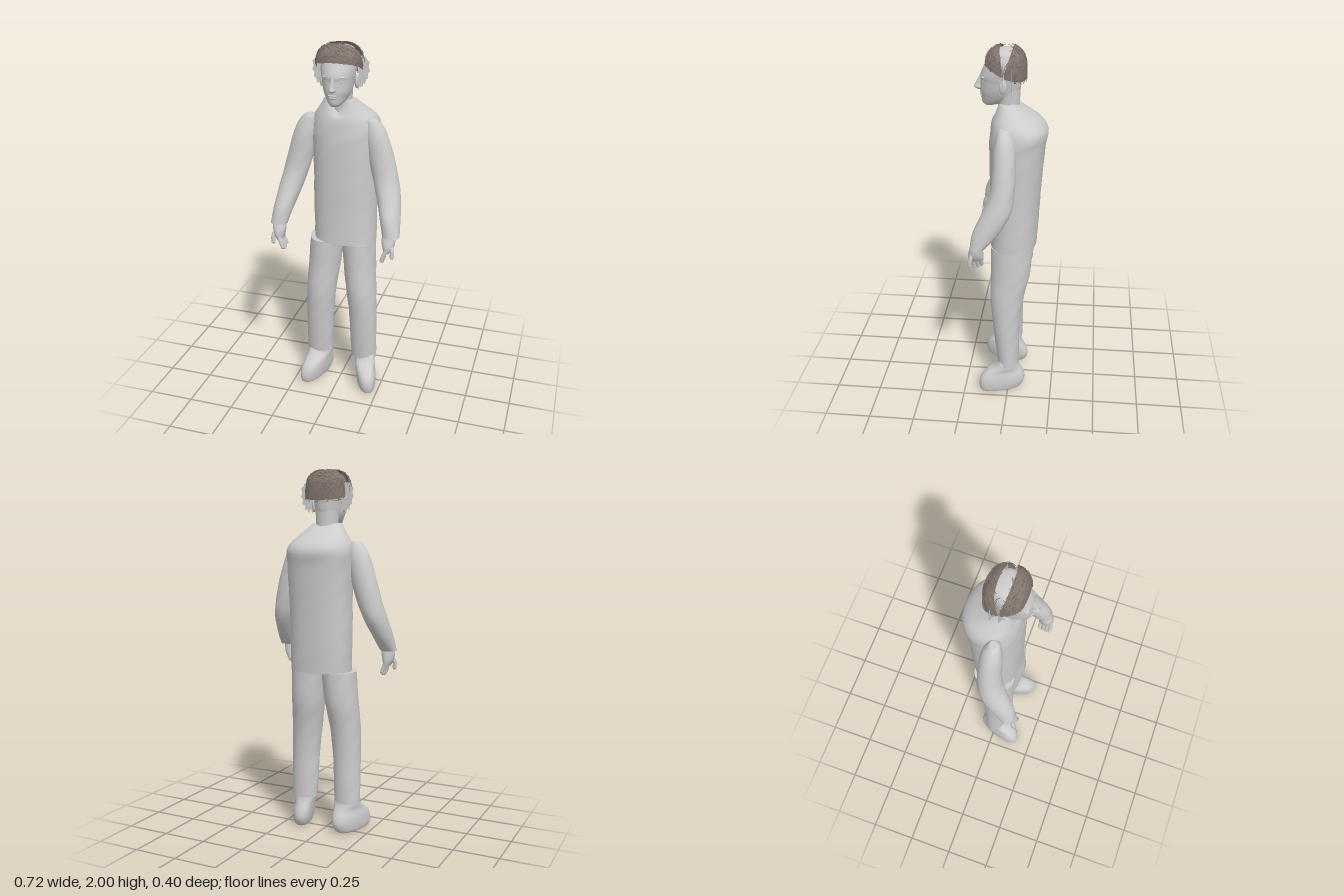
import * as THREE from 'three';
import { mergeGeometries } from 'three/addons/utils/BufferGeometryUtils.js';
import { ParametricGeometry } from 'three/addons/geometries/ParametricGeometry.js';

const bodyGrey = new THREE.MeshStandardMaterial({ color: 0xcccccc, side: THREE.DoubleSide });
bodyGrey.name = 'bodyGrey';
const hairBrown = new THREE.MeshStandardMaterial({ color: 0x857870, side: THREE.DoubleSide });
hairBrown.name = 'hairBrown';

// small seeded generator for the hair strands
let seed = 7;
const rand = () => (seed = (seed * 16807) % 2147483647) / 2147483647;

// smooth values between rows
function spline(a, b, c, d, t) {
  return b + 0.5 * t * (c - a + t * (2 * a - 5 * b + 4 * c - d + t * (3 * (b - c) + d - a)));
}

// body of horizontal oval sections; rows run upwards: [y, xMin, xMax, zMin, zMax]
function loft(rows, { power = 2, segments = 32, steps = 4, wrinkle = 0, deform } = {}) {
  const rings = [];
  const at = i => rows[Math.min(rows.length - 1, Math.max(0, i))];
  for (let i = 0; i < rows.length - 1; i++) {
    for (let s = 0; s < steps; s++) {
      rings.push(rows[i].map((_, k) => spline(at(i - 1)[k], at(i)[k], at(i + 1)[k], at(i + 2)[k], s / steps)));
    }
  }
  rings.push(rows[rows.length - 1]);
  const pos = [], index = [];
  const point = (r, j) => {
    const [y, x0, x1, z0, z1] = r, a = (j / segments) * Math.PI * 2;
    const c = Math.cos(a), s = Math.sin(a);
    const w = 1 + wrinkle * Math.sin(y * 31 + 3 * a) * Math.sin(y * 17 + 2 * a);
    const p = new THREE.Vector3(
      (x0 + x1) / 2 + ((x1 - x0) / 2) * w * Math.sign(c) * Math.abs(c) ** (2 / power), y,
      (z0 + z1) / 2 + ((z1 - z0) / 2) * w * Math.sign(s) * Math.abs(s) ** (2 / power));
    if (deform) deform(p);
    return p;
  };
  rings.forEach(r => { for (let j = 0; j < segments; j++) pos.push(...point(r, j)); });
  for (let i = 0; i < rings.length - 1; i++) {
    for (let j = 0; j < segments; j++) {
      const a = i * segments + j, b = i * segments + (j + 1) % segments;
      index.push(a, a + segments, b, b, a + segments, b + segments);
    }
  }
  // end caps with their own corners
  [rings[0], rings[rings.length - 1]].forEach((r, top) => {
    const start = pos.length / 3, mid = new THREE.Vector3();
    for (let j = 0; j < segments; j++) {
      const p = point(r, j);
      mid.addScaledVector(p, 1 / segments);
      pos.push(...p);
    }
    pos.push(...mid);
    for (let j = 0; j < segments; j++) {
      const a = start + j, b = start + (j + 1) % segments, c = start + segments;
      if (top) index.push(c, b, a); else index.push(c, a, b);
    }
  });
  const g = new THREE.BufferGeometry();
  g.setAttribute('position', new THREE.Float32BufferAttribute(pos, 3));
  g.setIndex(index);
  g.computeVertexNormals();
  return g;
}

const flip = (rows, side, shift = 0) => rows.map(([y, a, b, c, d]) =>
  side > 0 ? [y, a + shift, b + shift, c, d] : [y, -b, -a, c, d]);

// dome of the hair: a turns round the x axis from the front, b runs from side to side
function hairPoint(a, b, size, target) {
  const f = (v, e) => Math.sign(v) * Math.abs(v) ** e;
  return target.set(f(Math.cos(b), 0.8) * 0.121 * size,
    1.86 + f(Math.sin(b) * Math.sin(a), 0.65) * 0.134 * size,
    0.025 + f(Math.sin(b) * Math.cos(a), 0.8) * 0.105 * size);
}

export function createModel() {
  const model = new THREE.Group();
  const add = (name, geometry, material = bodyGrey, parent = model) => {
    const m = new THREE.Mesh(geometry, material);
    m.name = name;
    parent.add(m);
    return m;
  };
  const ball = (name, x, y, z, rx, ry, rz, parent) => {
    const m = add(name, new THREE.SphereGeometry(1, 20, 14), bodyGrey, parent);
    m.position.set(x, y, z);
    m.scale.set(rx, ry, rz);
    return m;
  };

  // shirt, with the neckline dropping to a V at the front
  add('shirt', loft([
    [0.91, -0.152, 0.192, -0.145, 0.107], [1.1, -0.155, 0.192, -0.157, 0.105],
    [1.3, -0.157, 0.192, -0.17, 0.108], [1.48, -0.163, 0.198, -0.184, 0.11],
    [1.56, -0.163, 0.198, -0.196, 0.103], [1.61, -0.15, 0.178, -0.168, 0.095],
    [1.66, -0.115, 0.128, -0.1, 0.08], [1.71, -0.08, 0.085, -0.025, 0.065],
  ], {
    power: 2.25, segments: 48, wrinkle: 0.012,
    deform: p => {
      if (p.y > 1.62 && p.z > 0) p.y -= Math.max(0, 1 - Math.abs(p.x) / 0.06) * (p.y - 1.62) * 0.85;
    },
  }));

  // head, neck and face
  const head = new THREE.Group();
  head.name = 'head';
  model.add(head);
  add('neck', loft([[1.58, -0.055, 0.055, -0.05, 0.055], [1.69, -0.06, 0.06, -0.048, 0.065],
    [1.78, -0.065, 0.065, -0.05, 0.075]]), bodyGrey, head);
  add('skull', loft([
    [1.69, -0.022, 0.022, 0.085, 0.132], [1.705, -0.04, 0.04, 0.03, 0.146],
    [1.735, -0.06, 0.06, -0.03, 0.15], [1.77, -0.074, 0.074, -0.05, 0.155],
    [1.82, -0.083, 0.083, -0.056, 0.152], [1.85, -0.088, 0.088, -0.062, 0.153],
    [1.91, -0.092, 0.092, -0.064, 0.126], [1.955, -0.08, 0.08, -0.05, 0.095],
    [1.975, -0.06, 0.06, -0.033, 0.075], [1.982, -0.02, 0.02, 0, 0.045],
  ]), bodyGrey, head);
  add('nose', loft([[1.768, -0.01, 0.01, 0.13, 0.165], [1.78, -0.018, 0.018, 0.125, 0.187],
    [1.8, -0.012, 0.012, 0.125, 0.179], [1.845, -0.008, 0.008, 0.125, 0.156]], { segments: 16 }), bodyGrey, head);
  ball('upperLip', 0, 1.751, 0.149, 0.025, 0.006, 0.009, head);
  ball('lowerLip', 0, 1.74, 0.147, 0.021, 0.006, 0.009, head);
  for (const s of [-1, 1]) {
    ball('eye', s * 0.035, 1.82, 0.131, 0.015, 0.007, 0.011, head);
    ball('brow', s * 0.036, 1.842, 0.132, 0.024, 0.007, 0.012, head);
    ball('ear', s * 0.09, 1.805, 0.03, 0.012, 0.036, 0.02, head).rotation.y = s * 0.35;

    // jagged thin side locks
    const lock = new THREE.Shape();
    [[0.08, 1.93], [0.125, 1.92], [0.13, 1.905], [0.145, 1.895], [0.139, 1.87], [0.147, 1.85], [0.135, 1.835],
      [0.138, 1.81], [0.124, 1.805], [0.122, 1.78], [0.108, 1.785], [0.1, 1.76], [0.088, 1.78],
      [0.1, 1.83], [0.095, 1.87]].forEach(([x, y], i) => lock[i ? 'lineTo' : 'moveTo'](s * x, y));
    for (const z of [-0.015, 0.03]) add('sideLock', new THREE.ShapeGeometry(lock), bodyGrey, head).position.z = z;
  }

  // hair: front and back caps with a gap on the crown, under crossing strands
  const cap = (name, from, to) => add(name, new ParametricGeometry((u, v, p) =>
    hairPoint(from + (to - from) * u, 0.02 + v * (Math.PI - 0.04), 1, p), 16, 32), hairBrown, head);
  cap('hairFront', 0.22, 1.4);
  cap('hairBack', 1.87, 3.24);
  const strands = [];
  for (let i = 0; i < 230; i++) {
    // the two ranges keep most strands off the crown gap
    const a = i % 2 ? 0.25 + rand() * 1.1 : 1.9 + rand() * 1.3;
    const b = 0.15 + rand() * 2.85, da = (rand() - 0.5) * 0.9, db = (rand() - 0.5) * 1.3;
    const lift = rand() * 0.03;
    const points = [0, 0.25, 0.5, 0.75, 1].map(t => hairPoint(
      THREE.MathUtils.clamp(a + da * t, 0.2, 3.3), THREE.MathUtils.clamp(b + db * t, 0.06, 3.08),
      1.004 + lift * t, new THREE.Vector3()));
    strands.push(new THREE.TubeGeometry(new THREE.CatmullRomCurve3(points), 8, 0.0015, 4));
  }
  add('hairStrands', mergeGeometries(strands), hairBrown, head);

  for (const s of [-1, 1]) {
    const label = s > 0 ? 'left' : 'right';

    // sleeve, bending forward below the elbow
    add(label + 'Sleeve', loft(flip([
      [1.02, 0.265, 0.358, 0.1, 0.183], [1.1, 0.243, 0.35, 0.03, 0.168], [1.2, 0.21, 0.337, -0.028, 0.122],
      [1.3, 0.178, 0.315, -0.044, 0.085], [1.4, 0.15, 0.29, -0.048, 0.074], [1.5, 0.132, 0.26, -0.045, 0.07],
      [1.56, 0.128, 0.235, -0.034, 0.06], [1.6, 0.132, 0.205, -0.016, 0.05], [1.615, 0.145, 0.185, -0.005, 0.04],
    ], s, 0.003), { wrinkle: 0.015 }));

    // hand with four fingers and a thumb
    const hand = new THREE.Group();
    hand.name = label + 'Hand';
    model.add(hand);
    add('palm', loft(flip([[0.935, 0.282, 0.318, 0.115, 0.19], [0.965, 0.275, 0.335, 0.112, 0.195],
      [1.0, 0.268, 0.343, 0.115, 0.187], [1.04, 0.275, 0.343, 0.12, 0.172]], s), { segments: 20 }), bodyGrey, hand);
    const digit = (name, points, r) => {
      const path = points.map(([x, y, z]) => new THREE.Vector3(s * x, y, z));
      add(name, new THREE.TubeGeometry(new THREE.CatmullRomCurve3(path), 8, r, 10), bodyGrey, hand);
      const tip = path[path.length - 1];
      ball(name + 'Tip', tip.x, tip.y, tip.z, r, r, r, hand);
    };
    [0.125, 0.145, 0.166, 0.185].forEach((z, i) => {
      const low = [0.9, 0.888, 0.886, 0.895][i];
      digit('finger', [[0.3, 0.955, z], [0.288, 0.925, z + 0.003], [0.278, low, z + 0.002]], 0.0105);
    });
    digit('thumb', [[0.32, 0.985, 0.168], [0.333, 0.95, 0.18], [0.332, 0.92, 0.183]], 0.0115);

    // trouser leg
    add(label + 'Trouser', loft(flip([
      [0.17, 0.055, 0.203, -0.058, 0.06], [0.3, 0.05, 0.202, -0.062, 0.074], [0.45, 0.043, 0.2, -0.065, 0.09],
      [0.6, 0.028, 0.196, -0.082, 0.104], [0.75, 0.008, 0.187, -0.118, 0.098], [0.913, -0.006, 0.178, -0.13, 0.1],
    ], s, 0.01), { wrinkle: 0.02 }));

    // shoe, toes turned outwards
    add(label + 'Shoe', loft(flip([
      [0, 0.108, 0.178, -0.055, 0.145], [0.012, 0.088, 0.19, -0.075, 0.158], [0.05, 0.078, 0.195, -0.093, 0.164],
      [0.09, 0.073, 0.193, -0.088, 0.155], [0.125, 0.07, 0.186, -0.07, 0.125], [0.155, 0.068, 0.188, -0.055, 0.078],
      [0.2, 0.075, 0.185, -0.045, 0.045],
    ], s, 0.022), { power: 2.4, deform: p => { p.x += s * (p.z - 0.02) * 0.27; } }));
  }
  return model;
}
